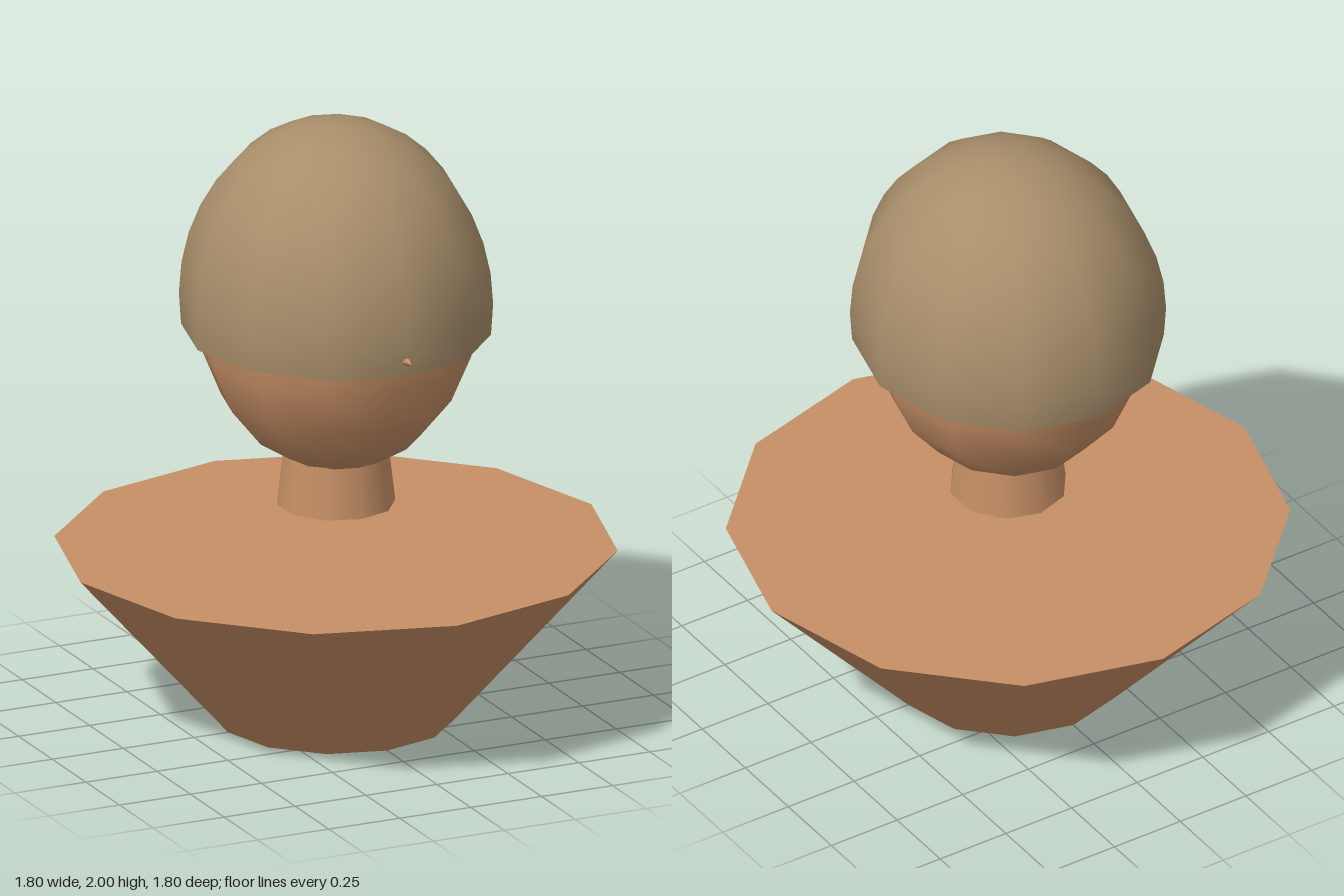
import * as THREE from 'three';

export function createModel() {
  const group = new THREE.Group();
  const skin = new THREE.MeshStandardMaterial({ color: 0xc68f65 });
  skin.name = 'skin';
  const hairTone = new THREE.MeshStandardMaterial({ color: 0xa88e6a, side: THREE.DoubleSide });
  hairTone.name = 'hair';

  const add = (name, geometry, material, y, z = 0) => {
    const mesh = new THREE.Mesh(geometry, material);
    mesh.name = name;
    mesh.position.set(0, y, z);
    group.add(mesh);
    return mesh;
  };

  // Shoulders taper down to a narrow base
  add('shoulders', new THREE.CylinderGeometry(0.9, 0.38, 0.58, 12), skin, 0.29);

  // Neck floats above the shoulders and runs into the head
  add('neck', new THREE.CylinderGeometry(0.165, 0.19, 0.22, 10), skin, 0.83);

  // Egg-shaped head, slightly deeper than wide
  add('head', new THREE.SphereGeometry(1, 12, 10), skin, 1.395).scale.set(0.45, 0.55, 0.473);

  // Open cap of hair that ends just below its widest point
  const cap = new THREE.SphereGeometry(1, 12, 10, 0, Math.PI * 2, 0, Math.PI * 0.553);
  add('hair', cap, hairTone, 1.4).scale.set(0.494, 0.6, 0.531);

  // Nose, with only its tip poking through the hair
  const nose = new THREE.ConeGeometry(0.05, 0.14, 8).rotateX(Math.PI / 2);
  add('nose', nose, skin, 1.352, 0.492);

  return group;
}
